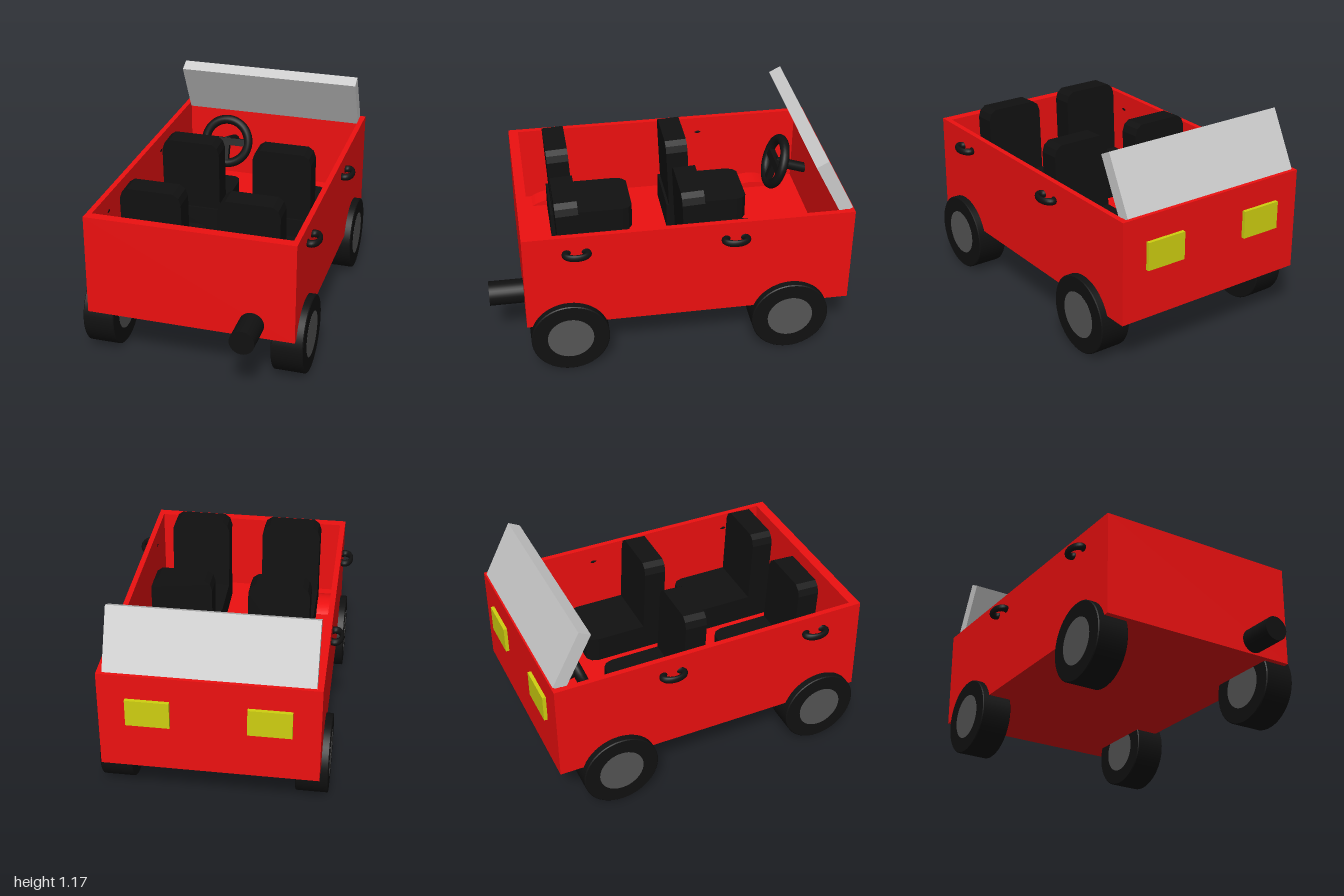
import * as THREE from 'three';

const mat = (color, extra = {}) => new THREE.MeshStandardMaterial({ color, ...extra });
const red = mat(0xee1010);
const redShell = mat(0xee1010, { side: THREE.DoubleSide });
const black = mat(0x111111);
const hubGrey = mat(0x555555);
const yellow = mat(0xd0d010);
const grey = mat(0xcccccc);

export function createModel() {
  const model = new THREE.Group();

  const add = (name, geometry, material, x = 0, y = 0, z = 0, parent = model) => {
    const mesh = new THREE.Mesh(geometry, material);
    mesh.name = name;
    mesh.position.set(x, y, z);
    parent.add(mesh);
    return mesh;
  };
  // box given by its lower and upper corners
  const box = (name, material, [x0, y0, z0], [x1, y1, z1], parent = model) =>
    add(name, new THREE.BoxGeometry(x1 - x0, y1 - y0, z1 - z0), material,
      (x0 + x1) / 2, (y0 + y1) / 2, (z0 + z1) / 2, parent);

  // open tub: the rim outline extruded upward, plus a thick floor
  const rim = new THREE.Shape([[-0.575, -0.81], [0.575, -0.81], [0.575, 0.98], [-0.575, 0.98]]
    .map(([x, y]) => new THREE.Vector2(x, y)));
  rim.holes.push(new THREE.Path([[-0.545, -0.755], [-0.545, 0.925], [0.545, 0.925], [0.545, -0.755]]
    .map(([x, y]) => new THREE.Vector2(x, y))));
  const walls = new THREE.ExtrudeGeometry(rim, { depth: 0.57, bevelEnabled: false });
  walls.rotateX(-Math.PI / 2);
  add('bodyWalls', walls, red, 0, 0.29, 0);
  box('floor', red, [-0.56, 0.29, -0.95], [0.56, 0.4, 0.78]);

  // wheels with hubs showing on both faces, and arches inside the tub
  const tyre = new THREE.LatheGeometry(
    [[0.125, -0.0875], [0.21, -0.0875], [0.215, -0.083], [0.215, 0.083], [0.21, 0.0875], [0.125, 0.0875]]
      .flatMap(([r, h]) => [new THREE.Vector2(r, h), new THREE.Vector2(r, h)]), 48);
  tyre.rotateZ(Math.PI / 2);
  const hub = new THREE.CylinderGeometry(0.127, 0.127, 0.176, 40).rotateZ(Math.PI / 2);
  const archShape = new THREE.Shape();
  archShape.absarc(0, 0, 0.221, 0.4, Math.PI - 0.4);
  const arch = new THREE.ExtrudeGeometry(archShape, { depth: 0.115, bevelEnabled: false, curveSegments: 24 });
  arch.translate(0, 0, -0.0575).rotateY(Math.PI / 2);
  for (const side of [-1, 1]) {
    for (const z of [-0.647, 0.578]) {
      const wheel = new THREE.Group();
      wheel.name = 'wheel';
      wheel.position.set(side * 0.5275, 0.217, z);
      model.add(wheel);
      add('tyre', tyre, mat(0x111111, { side: THREE.DoubleSide }), 0, 0, 0, wheel);
      add('hub', hub, hubGrey, 0, 0, 0, wheel);
      add('wheelArch', arch, redShell, side * 0.4925, 0.217, z);
    }
    // ring door handles, half sunk into the side walls
    for (const z of [-0.327, 0.525]) {
      const handle = add('doorHandle', new THREE.TorusGeometry(0.06, 0.02, 12, 32).rotateX(Math.PI / 2),
        black, side * 0.593, 0.763, z);
      handle.scale.x = 0.62;
    }
    box('headlight', yellow, [side * 0.315 - 0.115, 0.565, -1], [side * 0.315 + 0.115, 0.72, -0.97]);
  }

  // seats: panels with two softened corners, laid flat and standing up
  const panel = (w, h, depth) => {
    const s = new THREE.Shape();
    s.moveTo(-w, 0);
    s.lineTo(w, 0);
    for (const [x, y] of [[w, h - 0.06], [w - 0.013, h - 0.022], [w - 0.043, h],
      [-w + 0.043, h], [-w + 0.013, h - 0.022], [-w, h - 0.06]]) s.lineTo(x, y);
    return new THREE.ExtrudeGeometry(s, { depth, bevelEnabled: false });
  };
  const cushion = panel(0.17, 0.48, 0.15).rotateX(-Math.PI / 2);
  const backrest = panel(0.17, 0.56, 0.123).translate(0, 0, -0.123);
  for (const x of [-0.27, 0.27]) {
    for (const z of [-0.065, 0.615]) {
      const seat = new THREE.Group();
      seat.name = 'seat';
      seat.position.set(x, 0.4, z);
      model.add(seat);
      add('seatCushion', cushion, black, 0, 0, 0, seat);
      add('seatBack', backrest, black, 0, 0, -0.022, seat).rotation.x = 0.05;
    }
  }

  // steering wheel leaning towards the dash
  const steering = new THREE.Group();
  steering.name = 'steeringWheel';
  steering.position.set(-0.255, 0.69, -0.745);
  steering.rotation.x = -0.32;
  model.add(steering);
  add('steeringRim', new THREE.TorusGeometry(0.137, 0.028, 14, 40), black, 0, 0, 0, steering);
  box('crossSpoke', black, [-0.13, -0.022, -0.018], [0.13, 0.022, 0.018], steering);
  box('lowerSpoke', black, [-0.02, -0.13, -0.018], [0.02, 0, 0.018], steering);
  add('steeringColumn', new THREE.CylinderGeometry(0.03, 0.03, 0.19, 20).rotateX(Math.PI / 2),
    black, 0, 0, -0.095, steering);

  // raked windscreen slab
  const screen = add('windscreen', new THREE.BoxGeometry(1.085, 0.34, 0.073), grey, 0, 1.003, -0.863);
  screen.rotation.x = 0.477;

  // exhaust running through the rear wall
  add('exhaustPipe', new THREE.CylinderGeometry(0.068, 0.068, 0.35, 32).rotateX(Math.PI / 2),
    black, 0.342, 0.367, 0.825);

  return model;
}
